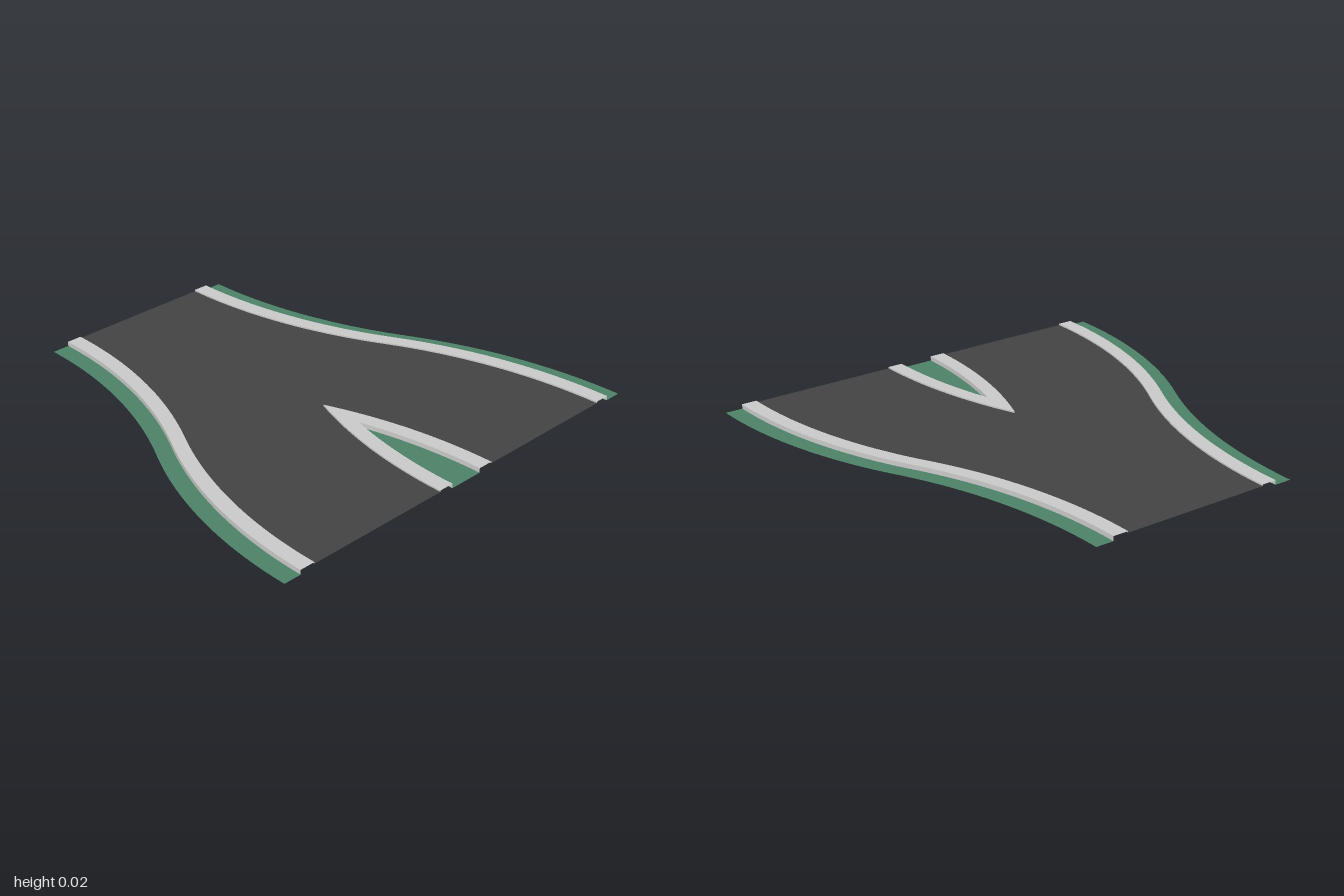
import * as THREE from 'three';

const TOP = 0.021, ROAD = 0.014, GRASS = 0;   // surface heights
const IN = 0.347, OUT = 0.418, EDGE = 0.5;    // kerb inside, kerb outside, verge edge
const R = 2.125;                              // radius of the two arcs of the S-bend

// sideways shift of the road at depth z: 0 at the back, 0.5 at the front
function bend(z) {
  const d = 1 - Math.abs(z);
  const s = R - Math.sqrt(R * R - d * d);
  return z < 0 ? s : 0.5 - s;
}

// depth at which a median edge meets the centre line
function tip(offset) {
  const s = 0.5 - offset;
  return 1 - Math.sqrt(R * R - (R - s) ** 2);
}
const kerbTip = tip(IN), grassTip = tip(OUT);

// shared rows, including both tips
const rows = [kerbTip, grassTip];
for (let i = 0; i <= 80; i++) rows.push(-1 + i / 40);
rows.sort((a, b) => a - b);

// strip between two edges, each given as [x(z), y]; side -1 mirrors it
function ribbon(a, b, start, side) {
  const pos = [], index = [];
  const [p, q] = side > 0 ? [a, b] : [b, a];
  rows.filter((z) => z >= start).forEach((z, i) => {
    pos.push(side * p[0](z), p[1], z, side * q[0](z), q[1], z);
    const k = 2 * i;
    if (i) index.push(k - 2, k, k - 1, k - 1, k, k + 1);
  });
  const g = new THREE.BufferGeometry();
  g.setAttribute('position', new THREE.Float32BufferAttribute(pos, 3));
  g.setIndex(index);
  g.computeVertexNormals();
  return g;
}

export function createModel() {
  const model = new THREE.Group();
  const mat = (color) => new THREE.MeshStandardMaterial({ color, side: THREE.DoubleSide });
  const asphalt = mat(0x444444), paving = mat(0xd0d0d4), green = mat(0x4d8468);

  // edge lines of the right half
  const outer = (offset) => (z) => bend(z) + offset;
  const inner = (offset) => (z) => Math.max(0, bend(z) - offset);
  const centre = () => 0;

  for (const side of [1, -1]) {
    const name = side > 0 ? 'left' : 'right';
    const add = (part, material, a, b, start = -1) => {
      const mesh = new THREE.Mesh(ribbon(a, b, start, side), material);
      mesh.name = name + part;
      model.add(mesh);
    };

    // road, splitting around the median
    add('Road', asphalt, [inner(IN), ROAD], [outer(IN), ROAD]);

    // outer sidewalk with kerb walls, and the verge beside it
    add('KerbInnerWall', paving, [outer(IN), ROAD], [outer(IN), TOP]);
    add('Sidewalk', paving, [outer(IN), TOP], [outer(OUT), TOP]);
    add('KerbOuterWall', paving, [outer(OUT), TOP], [outer(OUT), GRASS]);
    add('Verge', green, [outer(OUT), GRASS], [outer(EDGE), GRASS]);

    // median: sunken grass, kerb walls and sidewalk
    add('MedianGrass', green, [centre, GRASS], [inner(OUT), GRASS], grassTip);
    add('MedianInnerWall', paving, [inner(OUT), GRASS], [inner(OUT), TOP], grassTip);
    add('MedianSidewalk', paving, [inner(OUT), TOP], [inner(IN), TOP], kerbTip);
    add('MedianOuterWall', paving, [inner(IN), TOP], [inner(IN), ROAD], kerbTip);
  }
  return model;
}
